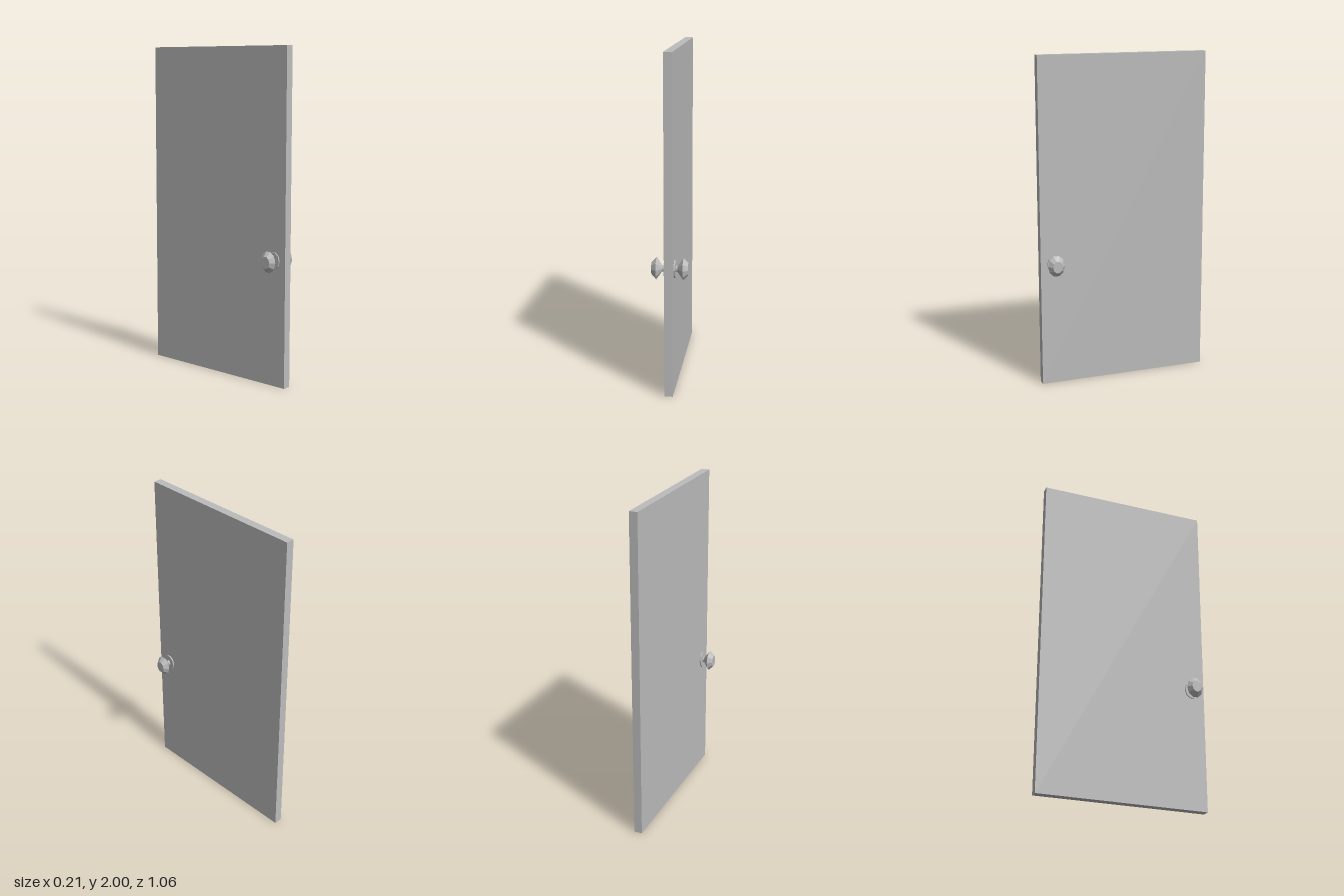
import * as THREE from 'three';

const SIDES = 10;

export function createModel() {
  const group = new THREE.Group();
  const grey = new THREE.MeshStandardMaterial({ color: 0xbcbcbc, flatShading: true });
  grey.name = 'plain grey';

  // Door slab
  const slab = new THREE.Mesh(new THREE.BoxGeometry(0.05, 2, 1.058), grey);
  slab.name = 'doorSlab';
  slab.position.y = 1;
  group.add(slab);

  // Faceted turned part along +x, slightly taller than wide
  const turned = (name, profile) => {
    const points = profile.map(([r, d]) => new THREE.Vector2(r, d));
    const geometry = new THREE.LatheGeometry(points, SIDES);
    geometry.rotateZ(-Math.PI / 2);
    geometry.scale(1, 1.23, 1);
    const mesh = new THREE.Mesh(geometry, grey);
    mesh.name = name;
    return mesh;
  };

  // One handle on each face of the door
  for (const side of [1, -1]) {
    const handle = new THREE.Group();
    handle.name = side > 0 ? 'leftHandle' : 'rightHandle';
    handle.add(
      turned('rosePlate', [[0.043, 0.02], [0.043, 0.033], [0, 0.033]]),
      turned('neck', [[0.015, 0.03], [0.015, 0.046]]),
      turned('knob', [[0, 0.045], [0.015, 0.045], [0.053, 0.078], [0.03, 0.106], [0, 0.106]]),
    );
    handle.position.set(0, 0.757, 0.446);
    if (side < 0) handle.rotation.y = Math.PI;
    group.add(handle);
  }
  return group;
}
